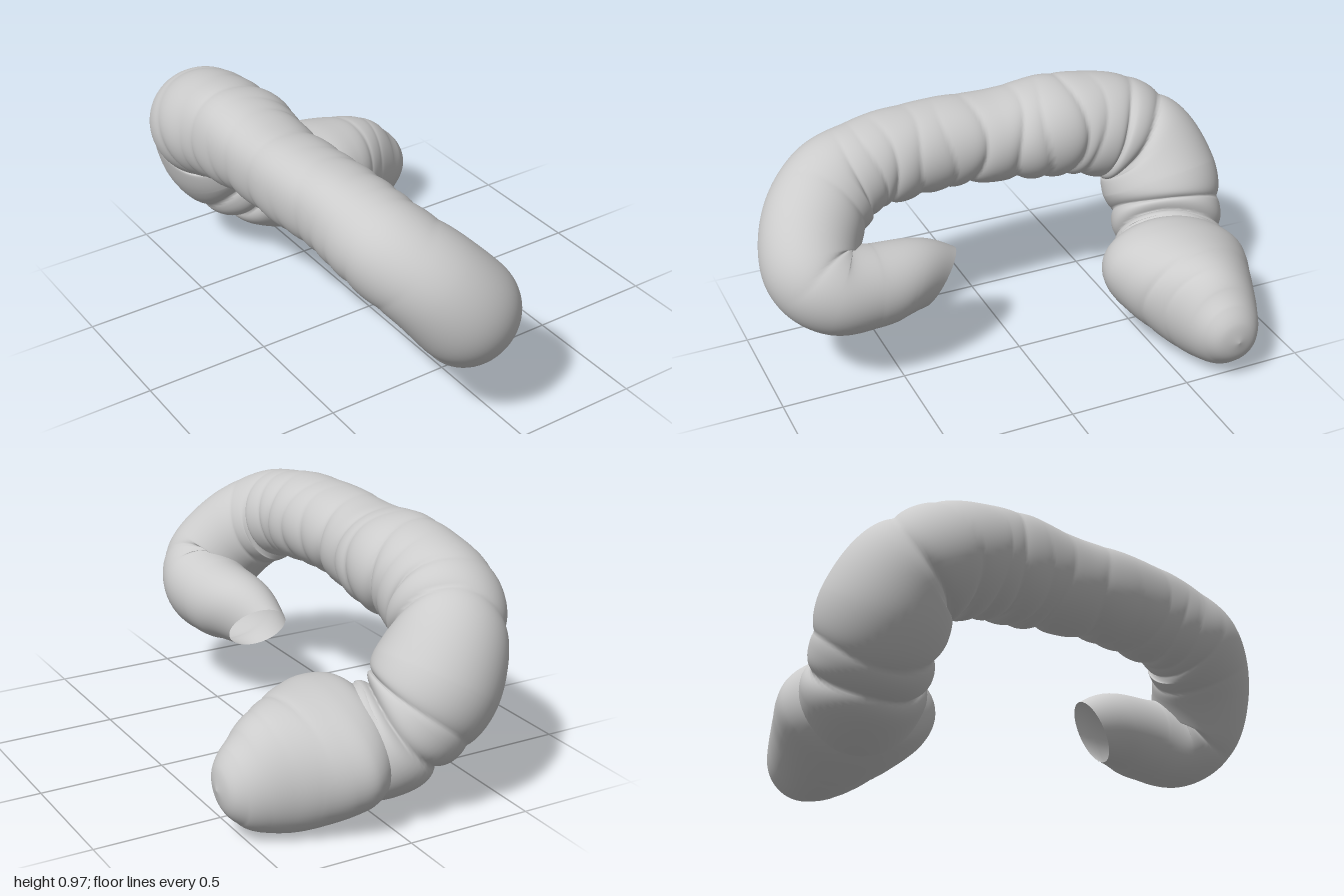
import * as THREE from 'three';

const { smoothstep, clamp } = THREE.MathUtils;
const material = new THREE.MeshStandardMaterial({ color: 0xcccccc, side: THREE.DoubleSide });
const CURL_NORMAL = new THREE.Vector3(0.7, 0.7, 0).normalize();
const CURL_CENTRE = new THREE.Vector3(-0.12, 0.5, 0);

// Smooth skin of rings along stations [x, y, z, radiusN, radiusB].
// folds: [station position, depth, 0 = inner side only .. 1 = all round]
// ridge(t): height of the lengthwise band on the outer side
function loft(name, { stations, up, rings, sides, folds, ridge, warp }) {
  const path = new THREE.CatmullRomCurve3(
    stations.map(s => new THREE.Vector3(s[0], s[1], s[2])), false, 'catmullrom');
  const radii = new THREE.CatmullRomCurve3(
    stations.map(s => new THREE.Vector3(s[3], s[4] ?? s[3], 0)), false, 'catmullrom');
  const positions = [], index = [];
  for (let i = 0; i <= rings; i++) {
    const t = i / rings, u = t * (stations.length - 1);
    const p = path.getPoint(t), r = radii.getPoint(t), T = path.getTangent(t);
    const B = new THREE.Vector3().crossVectors(T, up).normalize();
    const N = new THREE.Vector3().crossVectors(B, T);
    const outward = p.clone().sub(CURL_CENTRE);
    outward.addScaledVector(T, -outward.dot(T)).normalize();
    for (let j = 0; j < sides; j++) {
      const a = (j / sides) * Math.PI * 2;
      const dir = N.clone().multiplyScalar(Math.cos(a)).addScaledVector(B, Math.sin(a));
      const facing = dir.dot(outward);
      const inner = (1 - facing) / 2;
      let k = 1 + ridge(t) * Math.max(0, facing) ** 6;
      folds.forEach(([at, depth, around], n) => {
        const d = Math.abs(u - at - 0.1 * Math.sin(2 * a + n * 1.9));
        k -= depth * Math.exp(-d / 0.17) * (around + (1 - around) * inner);
      });
      const v = p.clone()
        .addScaledVector(N, Math.cos(a) * Math.max(r.x, 0) * k)
        .addScaledVector(B, Math.sin(a) * Math.max(r.y, 0) * k);
      warp(v, t);
      positions.push(v.x, v.y, v.z);
      if (i < rings) {
        const j2 = (j + 1) % sides;
        const q = i * sides + j, q2 = i * sides + j2;
        index.push(q, q2, q + sides, q2, q2 + sides, q + sides);
      }
    }
  }
  const geometry = new THREE.BufferGeometry();
  geometry.setAttribute('position', new THREE.Float32BufferAttribute(positions, 3));
  geometry.setIndex(index);
  geometry.computeVertexNormals();
  const mesh = new THREE.Mesh(geometry, material);
  mesh.name = name;
  return mesh;
}

// Curled tube, from its open end round the front bend to the rear neck
const curledTube = {
  up: CURL_NORMAL, rings: 380, sides: 56,
  stations: [
    [-0.09, 0.375, 0.31, 0.105],
    [-0.07, 0.415, 0.45, 0.15],
    [-0.06, 0.425, 0.60, 0.172, 0.165],
    [-0.075, 0.44, 0.735, 0.2, 0.178],
    [-0.14, 0.52, 0.805, 0.205, 0.19],
    [-0.245, 0.645, 0.755, 0.195, 0.2],
    [-0.335, 0.735, 0.635, 0.188, 0.2],
    [-0.36, 0.77, 0.50, 0.183],
    [-0.37, 0.785, 0.35, 0.178],
    [-0.385, 0.785, 0.15, 0.178],
    [-0.382, 0.775, -0.05, 0.18],
    [-0.37, 0.77, -0.25, 0.203],
    [-0.38, 0.755, -0.43, 0.212],
    [-0.38, 0.715, -0.59, 0.225],
    [-0.325, 0.635, -0.715, 0.225],
    [-0.25, 0.50, -0.755, 0.245],
    [-0.165, 0.38, -0.745, 0.235],
    [-0.05, 0.295, -0.71, 0.21, 0.24],
    [0.06, 0.28, -0.67, 0.19],
    [0.13, 0.28, -0.65, 0],
  ],
  folds: [
    [3.7, 0.08, 0], [5.5, 0.06, 0], [6.4, 0.1, 0], [7, 0.09, 0], [7.5, 0.12, 0],
    [8.2, 0.1, 0.1], [8.8, 0.08, 0], [9.5, 0.15, 0.1], [10.4, 0.14, 0.1],
    [10.9, 0.12, 0], [11.6, 0.16, 0.2], [12.1, 0.1, 0], [12.9, 0.15, 0.2],
    [13.7, 0.18, 0.5], [15.8, 0.12, 0.5], [16.5, 0.2, 0.8],
  ],
  ridge: t => 0.13 * smoothstep(t, 0.32, 0.42) * (1 - smoothstep(t, 0.58, 0.68)),
  // slanted cut at the open end
  warp: (v, t) => {
    const f = Math.max(0, 1 - t / 0.1);
    v.z += f * (0.5 * (v.x + 0.08) - 0.45 * (v.y - 0.375));
  },
};

// Broad blind pouch at the rear, tapering to a blunt tip on the left
const rearPouch = {
  up: new THREE.Vector3(0, 1, 0), rings: 120, sides: 56,
  stations: [
    [-0.06, 0.325, -0.635, 0, 0],
    [-0.04, 0.321, -0.636, 0.12, 0.16],
    [0.01, 0.311, -0.64, 0.19, 0.265],
    [0.1, 0.293, -0.646, 0.222, 0.312],
    [0.2, 0.272, -0.653, 0.235, 0.288],
    [0.3, 0.252, -0.66, 0.237, 0.24],
    [0.39, 0.236, -0.664, 0.224, 0.195],
    [0.47, 0.224, -0.666, 0.188, 0.157],
    [0.535, 0.22, -0.666, 0.138, 0.122],
    [0.58, 0.218, -0.666, 0.08, 0.076],
    [0.6, 0.217, -0.666, 0, 0],
  ],
  folds: [[4.7, 0.03, 0], [5.8, 0.02, 0]],
  ridge: () => 0,
  // lean the inner face and tip the section up toward the front
  warp: v => {
    const dz = v.z + 0.64;
    v.x -= 0.12 * dz * clamp((0.3 - v.x) / 0.3, 0, 1);
    v.y += 0.12 * dz;
  },
};

export function createModel() {
  const group = new THREE.Group();
  group.name = 'foldedTube';
  group.add(loft('curledTube', curledTube), loft('rearPouch', rearPouch));
  return group;
}
